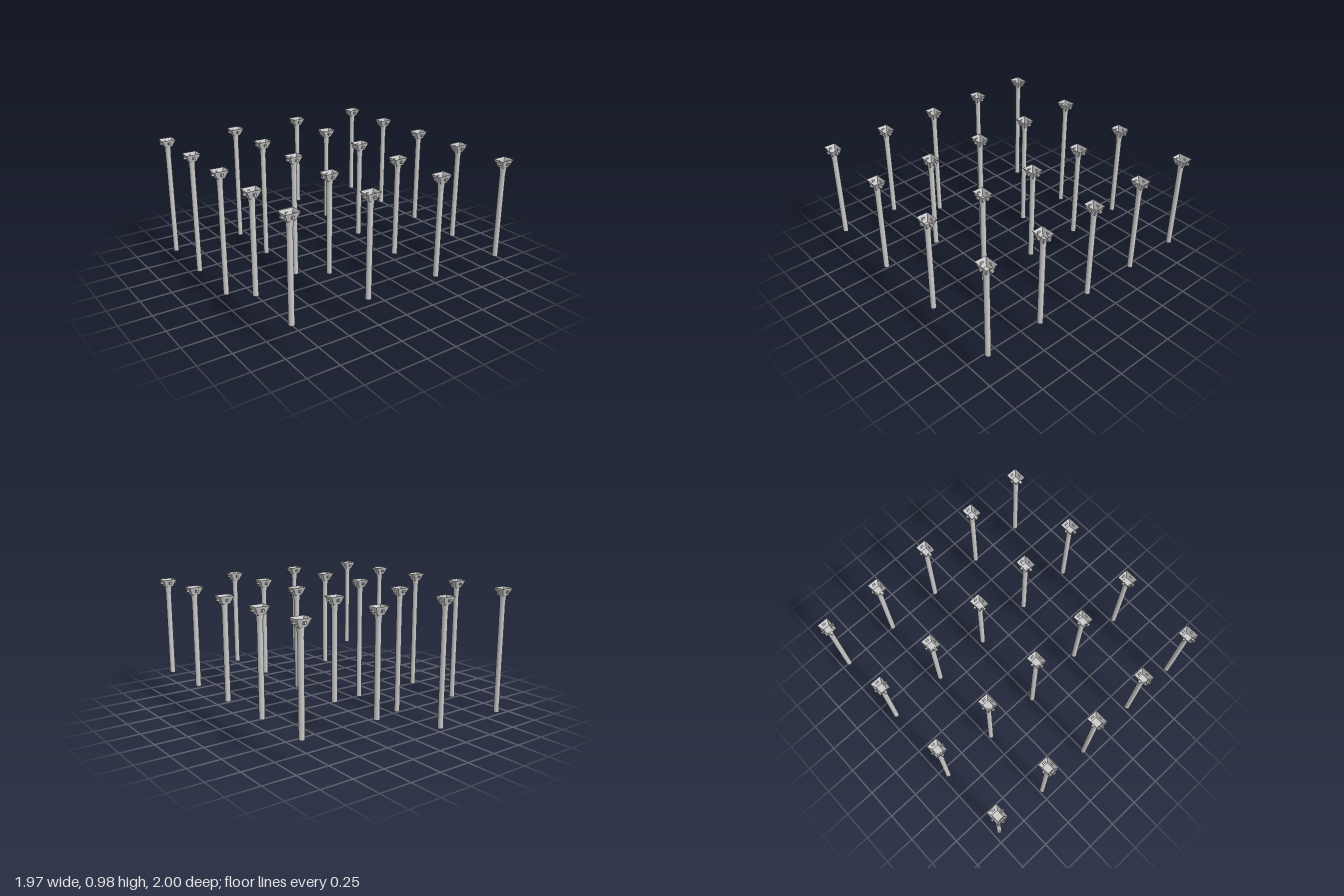
import * as THREE from 'three';

const XS = [-0.92, -0.307, 0.307, 0.92];
const ZS = [-0.947, -0.474, 0, 0.474, 0.947];
const GROUND = 0.2, SHAFT_TOP = 0.925, HEAD_TOP = 0.98;

const material = new THREE.MeshStandardMaterial({ color: 0xcccccc });
const flat = new THREE.MeshStandardMaterial({ color: 0xcccccc, flatShading: true, side: THREE.DoubleSide });

function mesh(name, geometry, mat, x = 0, y = 0, z = 0) {
  const m = new THREE.Mesh(geometry, mat);
  m.name = name;
  m.position.set(x, y, z);
  return m;
}

// Open rectangular funnel: four sloping walls between two rectangles
function funnelGeometry(bottomX, bottomZ, topX, topZ, y0, y1) {
  const g = new THREE.CylinderGeometry(Math.SQRT2, Math.SQRT2, 1, 4, 1, true);
  g.rotateY(Math.PI / 4);
  const p = g.attributes.position;
  for (let i = 0; i < p.count; i++) {
    const top = p.getY(i) > 0;
    p.setXYZ(i,
      Math.sign(p.getX(i)) * (top ? topX : bottomX),
      top ? y1 : y0,
      Math.sign(p.getZ(i)) * (top ? topZ : bottomZ));
  }
  g.computeVertexNormals();
  return g;
}

// Round post, slightly flared into a neck below the head
function shaft(base) {
  const group = new THREE.Group();
  group.name = 'post';
  const h = 0.86 - base;
  group.add(mesh('shaft', new THREE.CylinderGeometry(0.0215, 0.0215, h, 16), material, 0, base + h / 2, 0));
  const neckH = SHAFT_TOP - 0.86;
  group.add(mesh('neck', new THREE.CylinderGeometry(0.026, 0.0215, neckH, 16), material, 0, 0.86 + neckH / 2, 0));
  return group;
}

// Funnel head with a lug on each of its four walls
function head() {
  const group = new THREE.Group();
  group.name = 'head';
  group.add(mesh('funnel', funnelGeometry(0.029, 0.025, 0.057, 0.045, 0.92, HEAD_TOP), flat));
  group.add(mesh('funnelFloor', new THREE.BoxGeometry(0.058, 0.003, 0.05), flat, 0, 0.9215, 0));
  for (const s of [-1, 1]) {
    group.add(mesh('sideLug', new THREE.BoxGeometry(0.026, 0.017, 0.022), flat, s * 0.05, 0.952, 0));
    group.add(mesh('endLug', new THREE.BoxGeometry(0.016, 0.017, 0.022), flat, 0, 0.952, s * 0.042));
  }
  return group;
}

export function createModel() {
  const model = new THREE.Group();
  model.name = 'columnGrid';
  for (const x of XS) {
    for (const z of ZS) {
      // Columns in the back left quarter reach a lower floor
      const base = x < 0 && z < 0.1 ? 0 : GROUND;
      const column = new THREE.Group();
      column.name = 'column';
      column.position.set(x, 0, z);
      column.add(shaft(base), head());
      model.add(column);
    }
  }
  return model;
}
